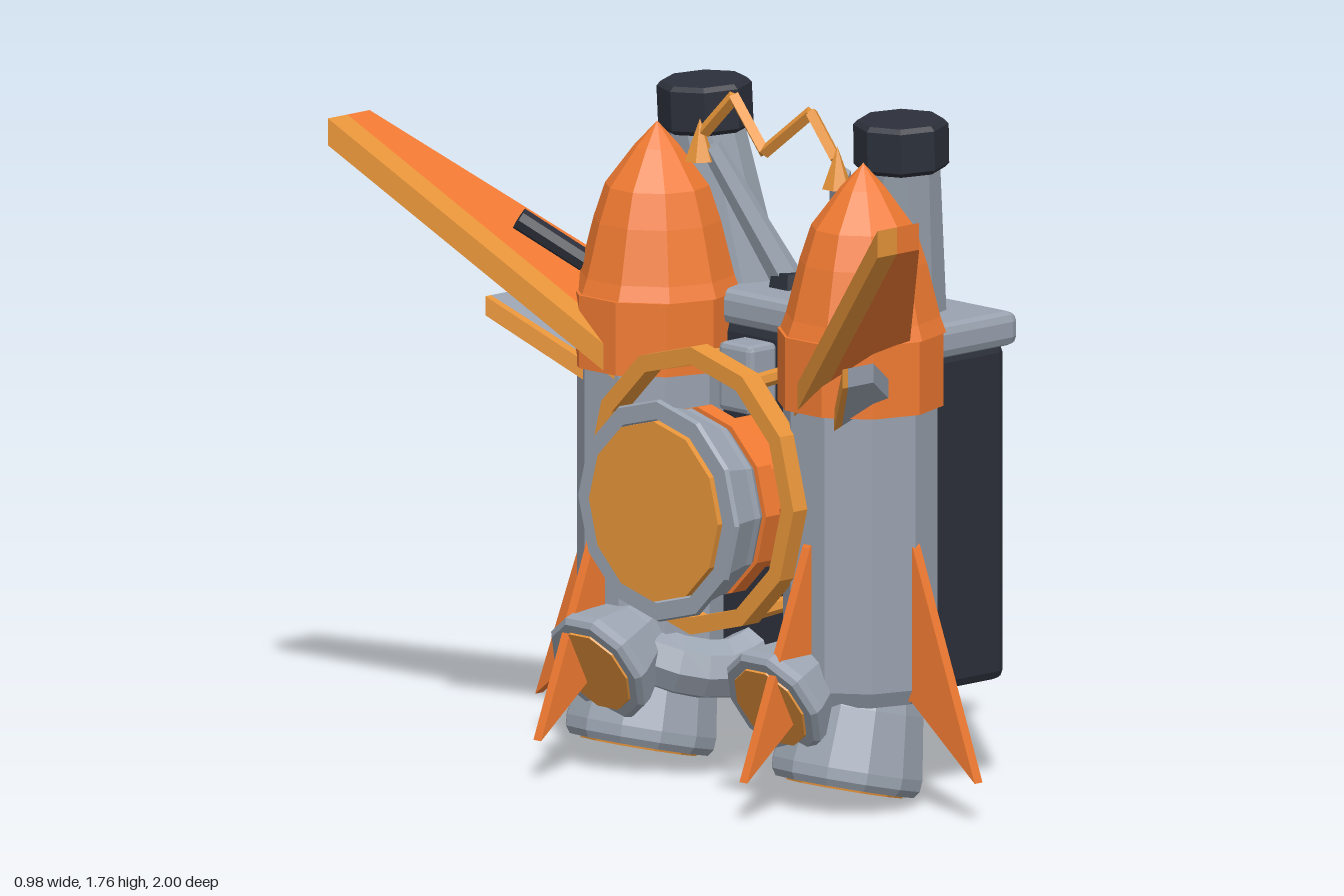
import * as THREE from 'three';
import { RoundedBoxGeometry } from 'three/addons/geometries/RoundedBoxGeometry.js';
import { ConvexGeometry } from 'three/addons/geometries/ConvexGeometry.js';

const mat = (color) => new THREE.MeshStandardMaterial({ color, flatShading: true, side: THREE.DoubleSide });
const ORANGE = mat(0xf07a32), GOLD = mat(0xe8953a), GREY = mat(0x9aa3b0), DARK = mat(0x2c303a);
const V = (x, y, z) => new THREE.Vector3(x, y, z);
const UP = V(0, 1, 0);

export function createModel() {
  const root = new THREE.Group();
  root.name = 'jetpack';

  const add = (name, geometry, material, x = 0, y = 0, z = 0) => {
    const m = new THREE.Mesh(geometry, material);
    m.name = name;
    m.position.set(x, y, z);
    root.add(m);
    return m;
  };
  // Chamfered box from its limits
  const box = (name, material, x0, x1, y0, y1, z0, z1, r = 0.015) =>
    add(name, new RoundedBoxGeometry(x1 - x0, y1 - y0, z1 - z0, 1, r), material,
      (x0 + x1) / 2, (y0 + y1) / 2, (z0 + z1) / 2);
  // Tapered rod between two points
  const rod = (name, material, a, b, ra, rb = ra, sides = 8) => {
    const d = b.clone().sub(a);
    const m = add(name, new THREE.CylinderGeometry(rb, ra, d.length(), sides), material);
    m.position.copy(a).add(b).multiplyScalar(0.5);
    m.quaternion.setFromUnitVectors(UP, d.normalize());
    return m;
  };
  // Turned profile of [radius, distance] pairs running from a point along a direction
  const turned = (name, material, profile, origin, dir, sides = 10) => {
    const m = add(name, new THREE.LatheGeometry(profile.map(p => new THREE.Vector2(...p)), sides), material);
    m.position.copy(origin);
    m.quaternion.setFromUnitVectors(UP, dir.clone().normalize());
    return m;
  };
  // Sloped slab over a plan outline of [x, z] corners, rising outwards
  const slab = (name, material, s, plan, y0, thick) => {
    const pts = [];
    for (const [x, z] of plan)
      for (const h of [0, thick]) pts.push(V(x, y0 + 0.84 * z + h, s * z));
    add(name, new ConvexGeometry(pts), material);
  };

  // Main housing and top plate
  box('housing', DARK, 0.14, 0.465, 0.29, 1.17, -0.5, 0.5, 0.025);
  box('housingPanel', DARK, 0.45, 0.487, 0.455, 1.085, -0.275, 0.275);
  box('topPlate', GREY, 0.12, 0.475, 1.165, 1.255, -0.54, 0.54, 0.025);
  box('plateLip', GREY, 0.42, 0.472, 1.13, 1.175, -0.34, 0.34, 0.008);

  // Turbine between the tanks
  const OUT = V(-1, 0, 0), hub = V(0, 0.765, 0);
  turned('turbineCore', ORANGE, [[0, -0.16], [0.2, -0.16], [0.2, 0.06], [0.25, 0.1], [0.25, 0.15], [0, 0.15]], hub, OUT, 12);
  turned('turbineBell', GREY, [[0.2, 0.1], [0.25, 0.17], [0.25, 0.19], [0.27, 0.27], [0.29, 0.285], [0.285, 0.297],
    [0.24, 0.297], [0.24, 0.27]], hub, OUT, 12);
  turned('turbineDisc', GOLD, [[0, 0.27], [0.235, 0.27], [0.235, 0.308], [0, 0.308]], hub, OUT, 12);
  turned('turbineRing', GOLD, [[0.33, 0.115], [0.375, 0.115], [0.375, 0.175], [0.33, 0.175], [0.33, 0.115]],
    V(0, 0.8, 0), OUT, 12);
  box('turbineTopBlock', GREY, -0.02, 0.08, 0.98, 1.16, -0.06, 0.06);

  for (const s of [1, -1]) {
    const Z = s * 0.375, X = 0.065;

    // Tank, collar and nose
    add('tank', new THREE.CylinderGeometry(0.2, 0.2, 0.72, 10), GREY, X, 0.69, Z);
    add('tankFoot', new THREE.CylinderGeometry(0.2, 0.18, 0.04, 10), GREY, X, 0.31, Z);
    add('collar', new THREE.CylinderGeometry(0.215, 0.215, 0.19, 10), ORANGE, X, 1.145, Z);
    turned('nose', ORANGE, [[0.215, 0], [0.2, 0.04], [0.165, 0.18], [0.135, 0.27], [0.06, 0.37], [0, 0.435]],
      V(X + 0.01, 1.24, Z), UP);

    // Main thruster, tilted
    const down = V(-0.23, -0.97, 0), neck = V(0.07, 0.32, Z);
    turned('mainThruster', GREY, [[0, 0], [0.16, 0], [0.175, 0.06], [0.2, 0.22], [0.198, 0.25], [0.185, 0.268],
      [0.16, 0.268], [0.16, 0.24]], neck, down, 12);
    turned('mainThrusterCore', GOLD, [[0, 0.24], [0.165, 0.24], [0.155, 0.274], [0, 0.274]], neck, down, 12);

    // Side thruster with its feed pipe
    const aim = V(-0.89, -0.45, 0), start = V(0.0, 0.39, s * 0.32);
    turned('sideThruster', GREY, [[0, 0], [0.09, 0], [0.11, 0.08], [0.155, 0.19], [0.158, 0.215], [0.145, 0.227],
      [0.12, 0.227], [0.12, 0.2]], start, aim, 10);
    turned('sideThrusterCore', GOLD, [[0, 0.2], [0.125, 0.2], [0.118, 0.232], [0, 0.232]], start, aim, 10);
    const feed = new THREE.CatmullRomCurve3([V(0.21, 0.33, s * 0.1), V(0.1, 0.28, s * 0.13),
      V(-0.03, 0.3, s * 0.22), V(-0.08, 0.34, s * 0.31)]);
    add('feedPipe', new THREE.TubeGeometry(feed, 6, 0.08, 8), GREY);

    // Two fins per tank
    for (const [name, angle] of [['outerFin', s > 0 ? -Math.PI / 2 : Math.PI / 2], ['backFin', Math.PI]]) {
      const shape = new THREE.Shape([[0.17, 0.75], [0.17, 0.3], [0.195, 0.3], [0.425, 0.12], [0.2, 0.7]]
        .map(p => new THREE.Vector2(...p)));
      const g = new THREE.ExtrudeGeometry(shape, { depth: 0.028, bevelEnabled: false });
      g.translate(0, 0, -0.014);
      add(name, g, ORANGE, X + 0.005, 0, Z).rotation.y = angle;
    }

    // Main wing with lighter edge strip, winglet and peg
    slab('wing', ORANGE, s, [[-0.42, 1], [-0.34, 1], [0.05, 0.57], [-0.04, 0.3]], 0.76, 0.07);
    slab('wingEdge', GOLD, s, [[-0.49, 1], [-0.42, 1], [-0.04, 0.3], [-0.1, 0.28]], 0.76, 0.07);
    slab('winglet', GREY, s, [[-0.25, 0.65], [-0.16, 0.65], [0, 0.55], [-0.06, 0.43]], 0.63, 0.05);
    slab('wingletEdge', GOLD, s, [[-0.27, 0.65], [-0.25, 0.65], [-0.06, 0.43], [-0.08, 0.42]], 0.63, 0.05);
    rod('wingPeg', DARK, V(-0.03, 1.3, s * 0.53), V(-0.145, 1.41, s * 0.655), 0.03);

    // Exhaust stack with cap
    const base = V(0.285, 1.22, s * 0.295), lean = V(-0.062, 0.48, s * 0.07).normalize();
    const along = (t) => base.clone().addScaledVector(lean, t);
    rod('stack', GREY, base, along(0.44), 0.122, 0.1, 10);
    turned('stackCap', DARK, [[0, 0], [0.11, 0], [0.122, 0.012], [0.122, 0.115], [0.11, 0.127], [0, 0.127]],
      along(0.425), V(-0.04, 1, 0.02 * s), 8);

    // Brace standing on a dark nut
    add('braceNut', new THREE.CylinderGeometry(0.06, 0.068, 0.05, 6), DARK, 0.285, 1.27, s * 0.09);
    rod('brace', GREY, V(0.28, 1.26, s * 0.1), V(0.13, 1.62, s * 0.235), 0.042, 0.028, 6);

    // Zigzag bar between the noses
    const zig = [V(0.09, 1.645, 0), V(0.12, 1.765, s * 0.14), V(0.11, 1.66, s * 0.24)];
    rod('zigzagInner', GOLD, zig[0], zig[1], 0.018, 0.018, 4);
    rod('zigzagOuter', GOLD, zig[1], zig[2], 0.018, 0.018, 4);
    add('zigzagEnd', new THREE.ConeGeometry(0.04, 0.11, 6), GOLD, 0.105, 1.64, s * 0.25);

    // Bars holding the ring
    for (const y of [0.5, 1.1])
      rod('ringBar', GOLD, V(0.16, y, s * 0.12), V(-0.15, y, s * 0.18), 0.02, 0.02, 6);
  }
  return root;
}
